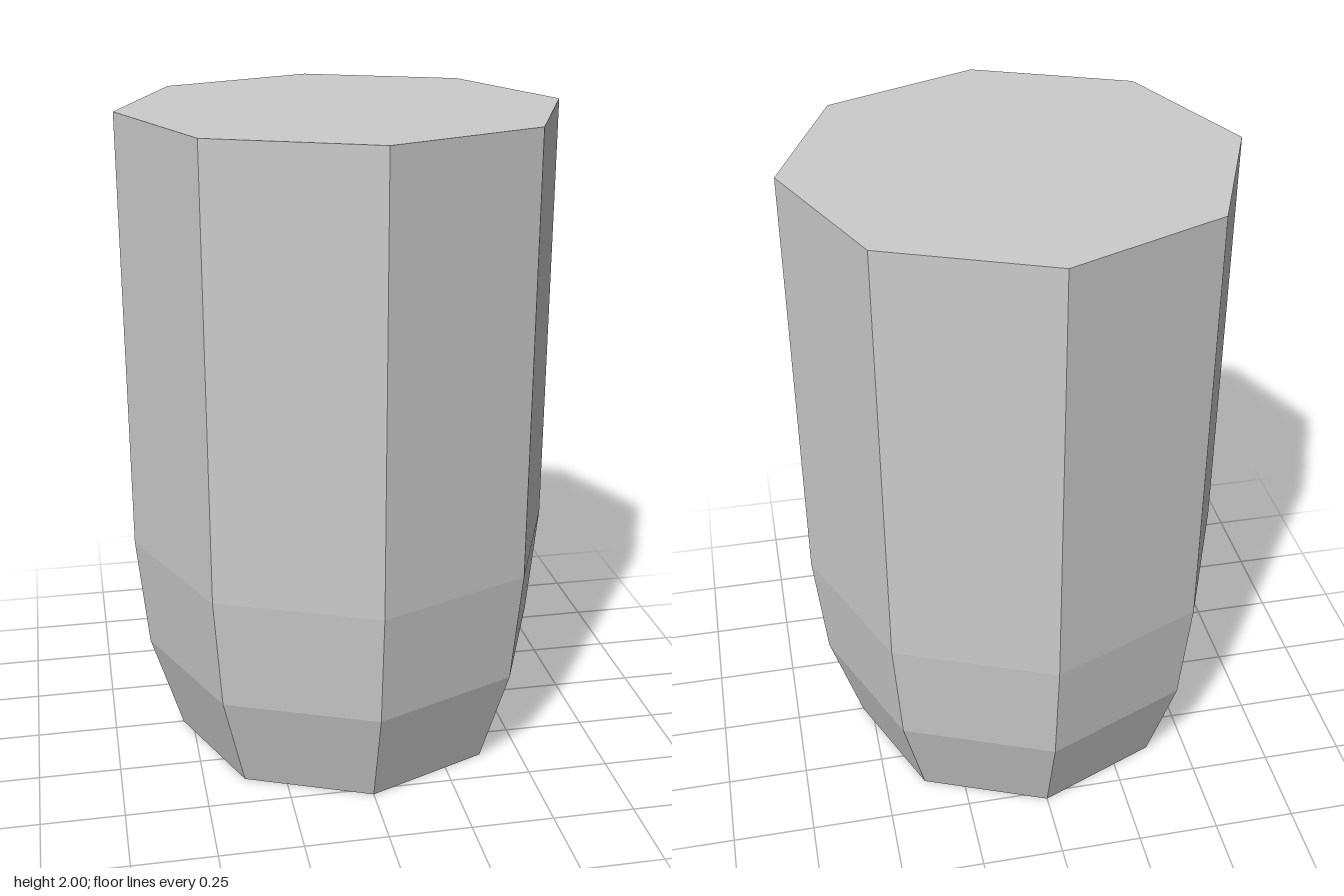
import * as THREE from 'three';

export function createModel() {
  const group = new THREE.Group();
  const material = new THREE.MeshStandardMaterial({ color: 0xcccccc, flatShading: true });

  // Closed eight-sided body: straight above, tapering in two steps to the base
  const profile = [
    [0, 0], [0.53, 0], [0.626, 0.31], [0.66, 0.66], [0.66, 2], [0, 2],
  ].map(([r, y]) => new THREE.Vector2(r, y));

  const body = new THREE.Mesh(new THREE.LatheGeometry(profile, 8), material);
  body.name = 'taperedOctagonalBody';
  group.add(body);
  return group;
}
